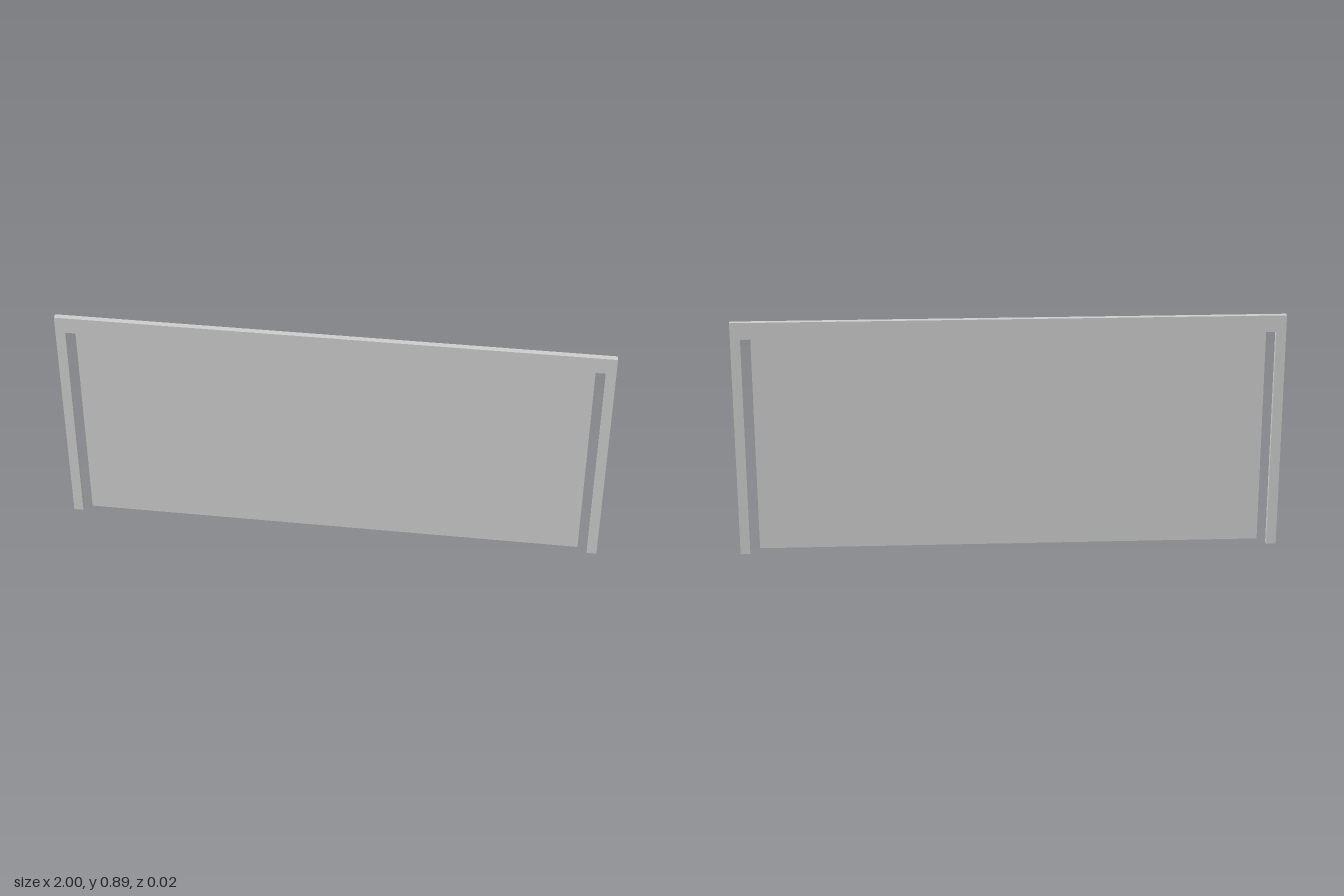
import * as THREE from 'three';

const HEIGHT = 0.89;      // overall height
const DEPTH = 0.022;      // frame depth
const POST = 0.036;       // post width
const RAIL_BOTTOM = 0.828;

export function createModel() {
  const model = new THREE.Group();
  model.name = 'hangingScreen';
  const grey = new THREE.MeshStandardMaterial({ color: 0xcccccc });

  // U-shaped frame: two posts joined by a top rail, cut as one piece
  const inner = 1 - POST;
  const outline = new THREE.Shape([
    [-1, 0], [-inner, 0], [-inner, RAIL_BOTTOM], [inner, RAIL_BOTTOM],
    [inner, 0], [1, 0], [1, HEIGHT], [-1, HEIGHT],
  ].map(([x, y]) => new THREE.Vector2(x, y)));
  const frameGeometry = new THREE.ExtrudeGeometry(outline, { depth: DEPTH, bevelEnabled: false });
  frameGeometry.translate(0, 0, -DEPTH / 2);
  const frame = new THREE.Mesh(frameGeometry, grey);
  frame.name = 'frame';
  model.add(frame);

  // Thin panel hanging from the rail, clear of the posts and the floor
  const panelBottom = 0.02;
  const panelHeight = RAIL_BOTTOM - panelBottom;
  const panel = new THREE.Mesh(new THREE.BoxGeometry(1.856, panelHeight, 0.009), grey);
  panel.name = 'panel';
  panel.position.y = panelBottom + panelHeight / 2;
  model.add(panel);

  return model;
}
